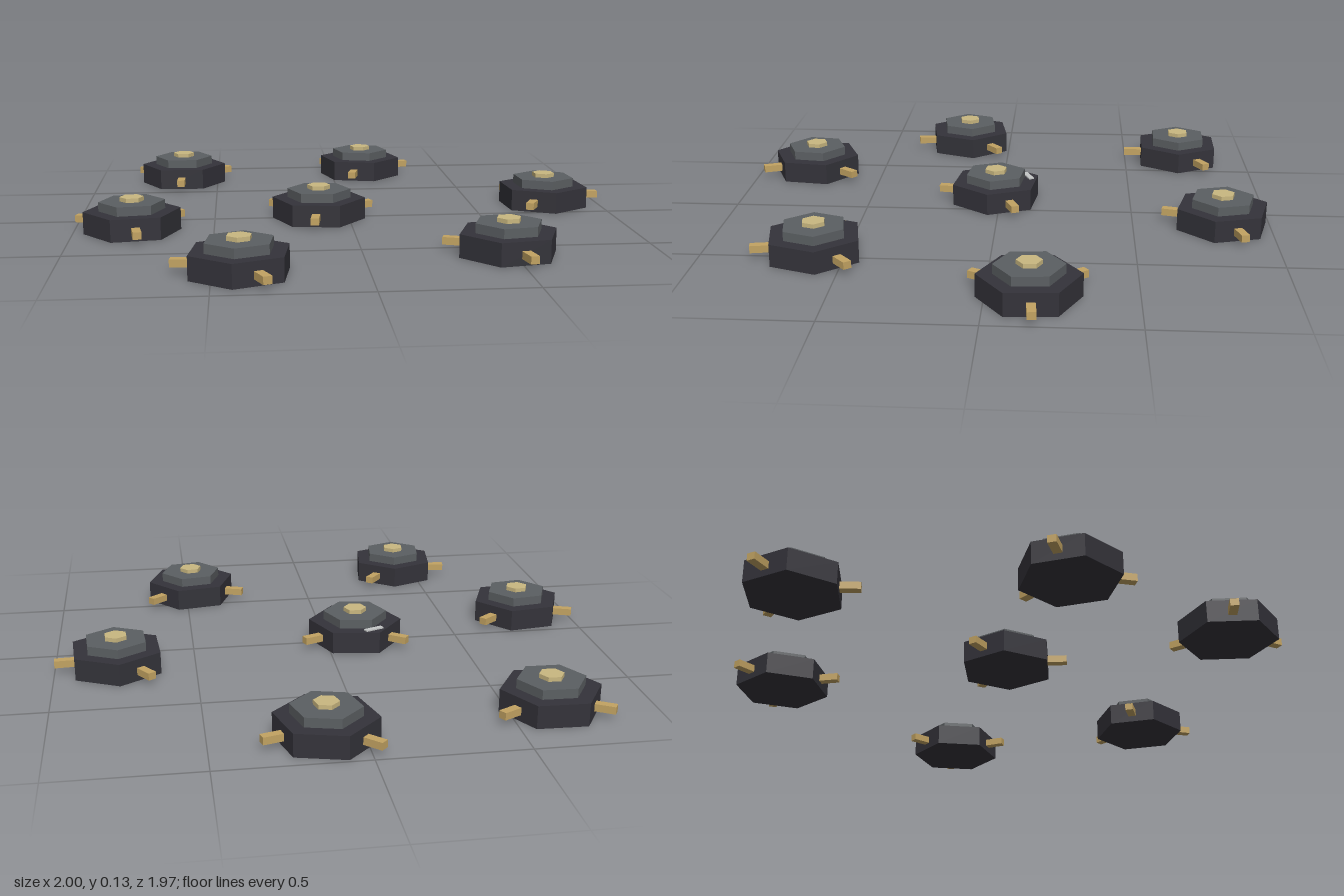
import * as THREE from 'three';

const bodyDark = new THREE.MeshStandardMaterial({ color: 0x34333a });
const plateGrey = new THREE.MeshStandardMaterial({ color: 0x5b5f62 });
const brass = new THREE.MeshStandardMaterial({ color: 0xc2a362 });
const paleBrass = new THREE.MeshStandardMaterial({ color: 0xc9b780 });
const lightMark = new THREE.MeshStandardMaterial({ color: 0xc4c6c6 });

// Flat-faced hexagonal prism with two corners on the x axis
function hexPrism(name, radius, y0, y1, material) {
  const indexed = new THREE.CylinderGeometry(radius, radius, y1 - y0, 6, 1, false, Math.PI / 6);
  const geometry = indexed.toNonIndexed();
  geometry.computeVertexNormals();
  const mesh = new THREE.Mesh(geometry, material);
  mesh.name = name;
  mesh.position.y = (y0 + y1) / 2;
  return mesh;
}

// Box set at a distance from the centre, facing outward at an angle from +z
function radialBox(name, size, angle, distance, y, material) {
  const mesh = new THREE.Mesh(new THREE.BoxGeometry(...size), material);
  mesh.name = name;
  mesh.position.set(Math.sin(angle) * distance, y, Math.cos(angle) * distance);
  mesh.rotation.y = angle;
  return mesh;
}

function createUnit() {
  const unit = new THREE.Group();
  unit.name = 'hexUnit';
  unit.add(
    hexPrism('base', 0.173, 0, 0.08, bodyDark),
    hexPrism('upperPlate', 0.118, 0.08, 0.113, plateGrey),
    hexPrism('capStud', 0.043, 0.113, 0.128, paleBrass)
  );
  // Three contact pegs on alternate sides
  for (let i = 0; i < 3; i++) {
    unit.add(radialBox('peg', [0.03, 0.026, 0.09], (i * Math.PI * 2) / 3, 0.175, 0.036, brass));
  }
  return unit;
}

export function createModel() {
  const model = new THREE.Group();
  model.name = 'hexUnitCluster';

  // x, z and turn in degrees of each unit; the first is the central one
  const layout = [
    [-0.112, 0.016, -7.5],
    [-0.642, -0.716, -1.5],
    [0.123, -0.823, -14.3],
    [0.78, -0.144, -26],
    [-0.79, 0.171, 8.7],
    [-0.41, 0.77, 22.3],
    [0.48, 0.604, 10.5],
  ];
  layout.forEach(([x, z, turn], i) => {
    const unit = createUnit();
    unit.position.set(x, 0, z);
    unit.rotation.y = THREE.MathUtils.degToRad(turn);
    // Pale marker on one corner of the central unit
    if (i === 0) {
      unit.add(radialBox('cornerMark', [0.074, 0.008, 0.02], (Math.PI * 7) / 6, 0.132, 0.081, lightMark));
    }
    model.add(unit);
  });
  return model;
}
